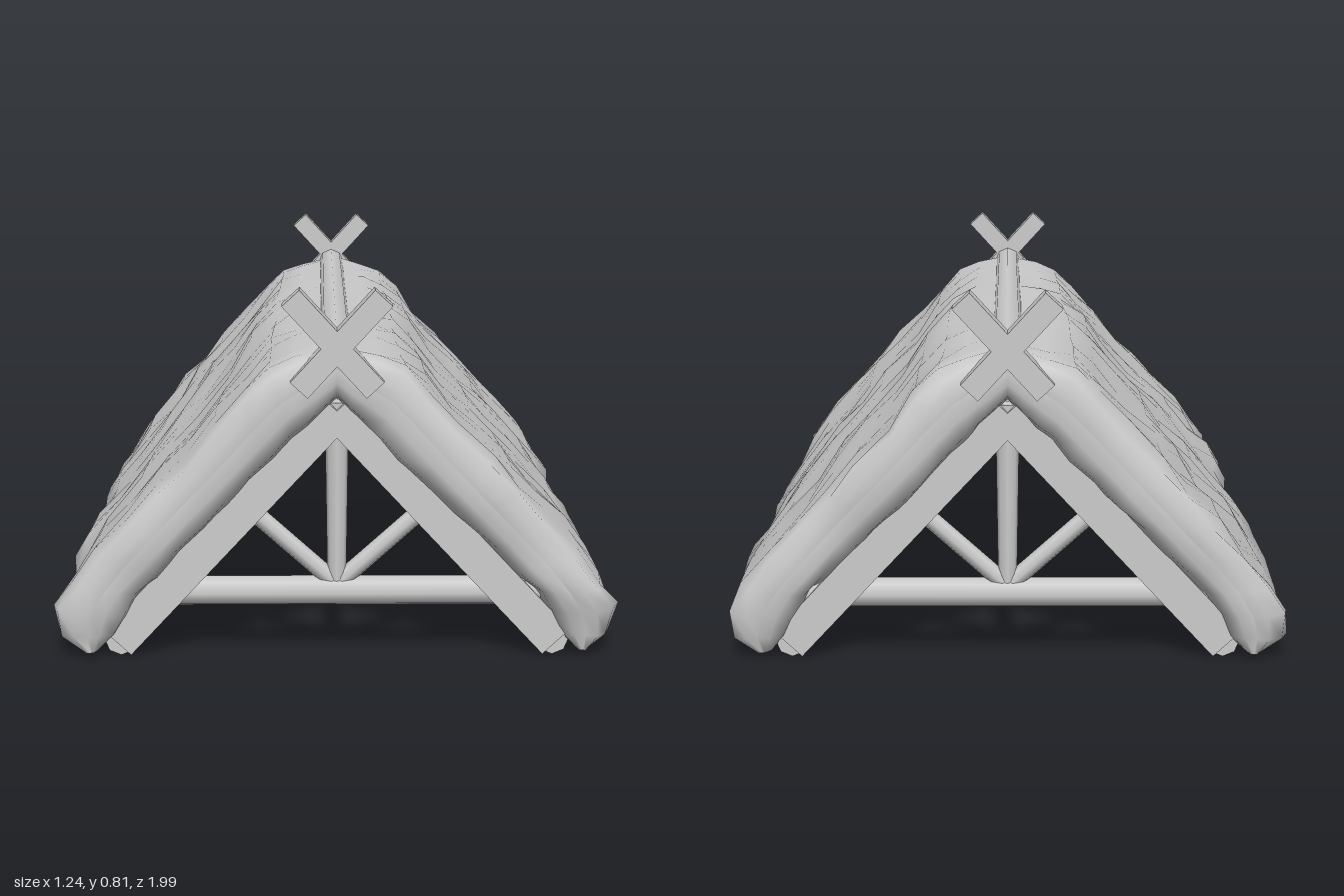
import * as THREE from 'three';

const thatchMat = new THREE.MeshStandardMaterial({ color: 0xcccccc });
thatchMat.name = 'pale grey';

// Seeded value noise, used for the uneven straw
function hash(i, j) {
  const s = Math.sin(i * 127.1 + j * 311.7 + 4.3) * 43758.5453;
  return (s - Math.floor(s)) * 2 - 1;
}

// Thatch: paired outer and inner profile points, from ridge to eave
const OUTER = [[0, 0.7], [0.035, 0.686], [0.09, 0.672], [0.145, 0.648], [0.2, 0.597], [0.26, 0.526], [0.33, 0.448],
  [0.39, 0.384], [0.45, 0.315], [0.52, 0.241], [0.576, 0.173], [0.609, 0.118], [0.602, 0.06], [0.55, 0.025]];
const INNER = [[0, 0.6], [0.03, 0.57], [0.06, 0.54], [0.09, 0.51], [0.13, 0.465], [0.18, 0.415], [0.23, 0.365],
  [0.28, 0.315], [0.33, 0.265], [0.38, 0.21], [0.42, 0.16], [0.45, 0.11], [0.475, 0.065], [0.515, 0.028]];

function thatchGeometry() {
  const n = OUTER.length;
  // Closed loop round the whole chevron: outer left to right, inner right to left
  const loop = [];
  for (let i = n - 1; i > 0; i--) loop.push([i, -1, 0]);
  for (let i = 0; i < n; i++) loop.push([i, 1, 0]);
  for (let i = n - 1; i > 0; i--) loop.push([i, 1, 1]);
  for (let i = 0; i < n; i++) loop.push([i, -1, 1]);

  // Rings along z; the ends round over and close on the middle line
  const rings = [[-0.967, 0.5], [-0.969, 0.3], [-0.955, 0.1], [-0.915, 0.01]];
  for (let k = 0; k <= 16; k++) rings.push([-0.84 + k * 0.105, 0]);
  rings.push([0.915, 0.01], [0.955, 0.1], [0.969, 0.3], [0.967, 0.5]);

  const pos = [], index = [], m = loop.length;
  rings.forEach(([z, inset], r) => {
    for (const [i, side, inside] of loop) {
      const a = inside ? INNER[i] : OUTER[i], b = inside ? OUTER[i] : INNER[i];
      const t = i / (n - 1);
      // Long streaks plus shorter dents, slight at the ridge; the underside thickens towards the gables
      const rough = 0.009 * hash(i * side + inside * 40, Math.floor(r / 3)) + 0.005 * hash(i * side + inside * 70, r);
      const rim = inside && t < 0.7 && Math.abs(z) > 0.9 ? -0.02 : 0;
      const bump = (inset < 0.25 ? rough * Math.min(1, i / 4) * (inside ? -0.4 : 0.75) : 0);
      const x = a[0] + (b[0] - a[0]) * inset + bump;
      const y = a[1] + (b[1] - a[1]) * inset + (t < 0.85 ? bump : 0) + rim * (1 - 2 * inset);
      const zEnd = z * (1 - 0.03 * t ** 6) + (inset ? 0.008 * hash(i * side, z > 0 ? 91 : 57) : 0);
      pos.push(side * x, y, zEnd);
    }
  });
  for (let r = 0; r < rings.length - 1; r++) {
    for (let j = 0; j < m; j++) {
      const a = r * m + j, b = r * m + (j + 1) % m, c = a + m, d = b + m;
      index.push(a, c, b, b, c, d);
    }
  }
  const g = new THREE.BufferGeometry();
  g.setAttribute('position', new THREE.Float32BufferAttribute(pos, 3));
  g.setIndex(index);
  g.computeVertexNormals();
  return g;
}

// Round pole between two points
function pole(name, from, to, r0, r1 = r0) {
  const a = new THREE.Vector3(...from), b = new THREE.Vector3(...to);
  const d = b.clone().sub(a);
  const mesh = new THREE.Mesh(new THREE.CylinderGeometry(r1, r0, d.length(), 8), thatchMat);
  mesh.name = name;
  mesh.position.copy(a).add(b).multiplyScalar(0.5);
  mesh.quaternion.setFromUnitVectors(new THREE.Vector3(0, 1, 0), d.normalize());
  return mesh;
}

// Squared timber lying in the xy plane
function timber(name, from, to, width, depth, z) {
  const dx = to[0] - from[0], dy = to[1] - from[1];
  const mesh = new THREE.Mesh(new THREE.BoxGeometry(width, Math.hypot(dx, dy), depth), thatchMat);
  mesh.name = name;
  mesh.position.set((from[0] + to[0]) / 2, (from[1] + to[1]) / 2, z);
  mesh.rotation.z = Math.atan2(-dx, dy);
  return mesh;
}

export function createModel() {
  const roof = new THREE.Group();
  roof.name = 'thatchedRoof';

  const thatch = new THREE.Mesh(thatchGeometry(), thatchMat);
  thatch.name = 'thatch';
  roof.add(thatch);

  // Pole along the ridge
  roof.add(pole('ridgePole', [0, 0.675, -0.96], [0, 0.675, 0.96], 0.037));

  // A truss with crossed horns at each gable
  for (const end of [1, -1]) {
    const truss = new THREE.Group();
    truss.name = end > 0 ? 'frontTruss' : 'backTruss';
    const z = 0.895 * end;
    truss.add(pole('tieBeam', [-0.44, 0.152, z], [0.44, 0.152, z], 0.033));
    truss.add(pole('kingPost', [0, 0.16, z], [0, 0.57, z], 0.02, 0.026));
    for (const s of [1, -1]) {
      truss.add(timber('rafter', [0, 0.555], [0.475 * s, 0.045], 0.08, 0.075, z));
      truss.add(pole('strut', [0.01 * s, 0.175, z], [0.2 * s, 0.345, z], 0.02));
      truss.add(timber('horn', [-0.08 * s, 0.61], [0.097 * s, 0.803], 0.05, 0.06, 0.966 * end));
    }
    roof.add(truss);
  }

  // Plates along both eaves
  for (const s of [1, -1]) {
    roof.add(pole('eavePlate', [0.468 * s, 0.05, -0.92], [0.468 * s, 0.05, 0.92], 0.036));
  }
  return roof;
}
